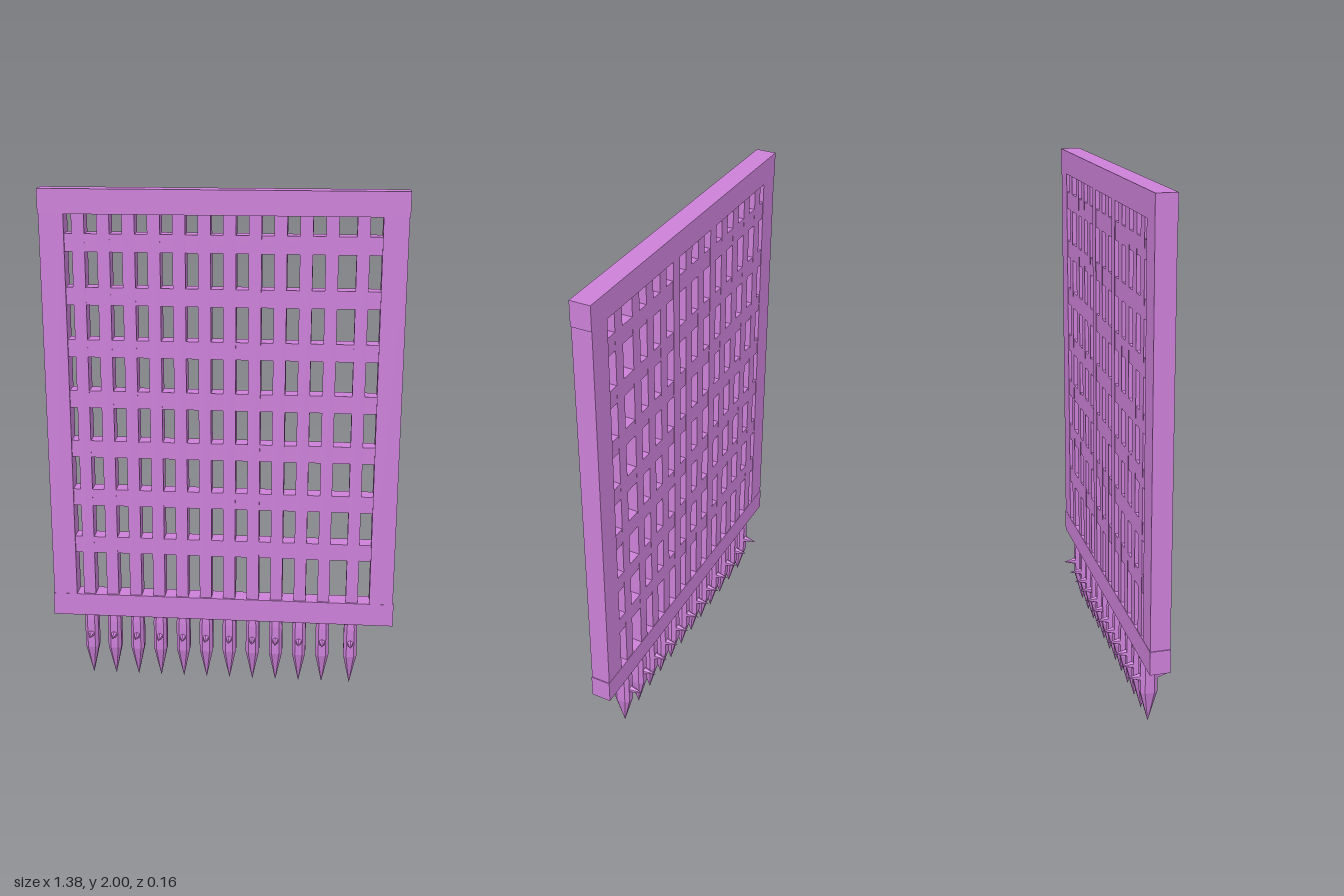
import * as THREE from 'three';

const material = new THREE.MeshStandardMaterial({ color: 0xcc80d8, flatShading: true });

function add(parent, name, geometry, x = 0, y = 0, z = 0) {
  const mesh = new THREE.Mesh(geometry, material);
  mesh.name = name;
  mesh.position.set(x, y, z);
  parent.add(mesh);
  return mesh;
}

// Box given by its extents on each axis
function slab(parent, name, x0, x1, y0, y1, z0, z1) {
  return add(parent, name, new THREE.BoxGeometry(x1 - x0, y1 - y0, z1 - z0),
    (x0 + x1) / 2, (y0 + y1) / 2, (z0 + z1) / 2);
}

// Chamfered rectangular spike lofted from cross-sections, coming to a point at y = 0
function spikeGeometry() {
  const rings = [[0.29, 0.023, 0.029], [0.25, 0.027, 0.033], [0.13, 0.027, 0.033], [0, 0.0005, 0.0005]];
  const corners = [[1, 0.55], [0.55, 1], [-0.55, 1], [-1, 0.55], [-1, -0.55], [-0.55, -1], [0.55, -1], [1, -0.55]];
  const points = [];
  const index = [];
  const n = corners.length;
  rings.forEach(([y, hx, hz], r) => {
    corners.forEach(([cx, cz], i) => {
      points.push(cx * hx, y, cz * hz);
      if (r === 0) return;
      const j = (i + 1) % n;
      const a = (r - 1) * n + i, b = (r - 1) * n + j, c = r * n + i, d = r * n + j;
      index.push(a, b, c, b, d, c);
    });
  });
  const geometry = new THREE.BufferGeometry();
  geometry.setAttribute('position', new THREE.Float32BufferAttribute(points, 3));
  geometry.setIndex(index);
  const flat = geometry.toNonIndexed();
  flat.computeVertexNormals();
  return flat;
}

export function createModel() {
  const gate = new THREE.Group();
  gate.name = 'portcullis';

  // Outer frame
  const frame = new THREE.Group();
  frame.name = 'frame';
  gate.add(frame);
  slab(frame, 'topRail', -0.69, 0.69, 1.907, 2, -0.035, 0.043);
  slab(frame, 'bottomRail', -0.69, 0.69, 0.278, 0.371, -0.035, 0.043);
  for (const side of [-1, 1]) {
    const x = side * 0.64;
    slab(frame, side > 0 ? 'leftStile' : 'rightStile', x - 0.047, x + 0.047, 0.36, 1.92, -0.034, 0.042);
  }

  // Horizontal lattice bars
  const lattice = new THREE.Group();
  lattice.name = 'lattice';
  gate.add(lattice);
  for (let i = 0; i < 7; i++) {
    const y = 0.586 + i * 0.2023;
    slab(lattice, 'crossBar', -0.61, 0.61, y - 0.034, y + 0.034, -0.032, 0.034);
  }

  // Upright bars, each ending in a spike with a stud on both faces
  const spike = spikeGeometry();
  const stud = new THREE.ConeGeometry(0.016, 0.055, 6);
  stud.rotateX(Math.PI / 2);
  for (let i = 0; i < 12; i++) {
    const x = i < 11 ? -0.541 + i * 0.095 : 0.523;
    const proud = i === 4 || i === 7 ? 0.002 : 0.0005;
    slab(lattice, 'uprightBar', x - 0.024, x + 0.024, 0.3, 1.95, -0.032 - proud, 0.034 + proud);

    const tip = new THREE.Group();
    tip.name = 'spikedFoot';
    tip.position.x = x;
    gate.add(tip);
    add(tip, 'spike', spike, 0, 0, 0.002);
    add(tip, 'frontStud', stud, 0, 0.19, 0.0535);
    add(tip, 'backStud', stud, 0, 0.19, -0.0545).rotation.y = Math.PI;
  }
  return gate;
}
